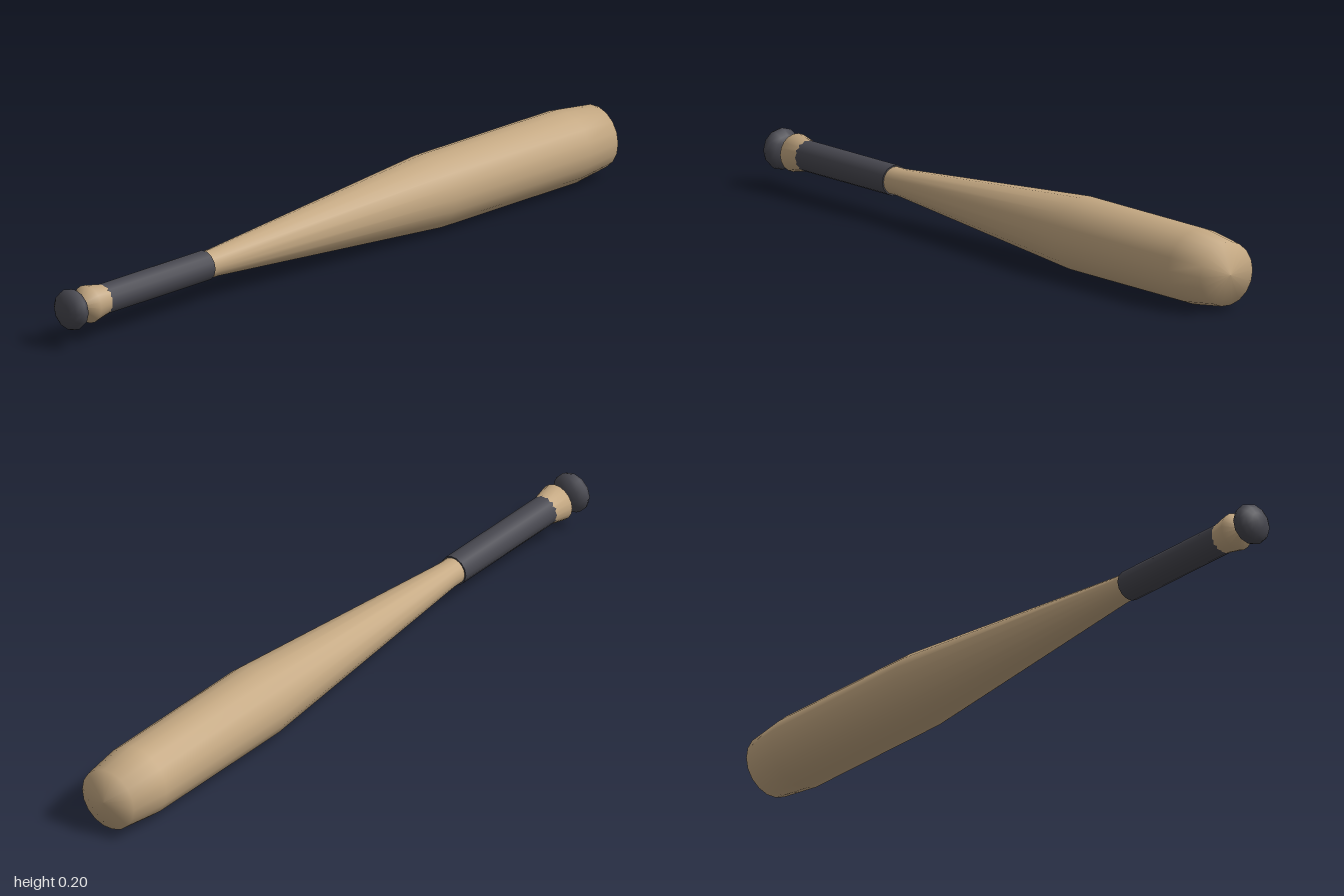
import * as THREE from 'three';

const AXIS_Y = 0.1; // height of the bat's long axis

export function createModel() {
  const wood = new THREE.MeshStandardMaterial({ color: 0xc4a882 });
  wood.name = 'wood';
  const wrap = new THREE.MeshStandardMaterial({ color: 0x47474f });
  wrap.name = 'darkWrap';

  const bat = new THREE.Group();
  bat.name = 'bat';

  // Lays a y-axis solid along z and adds it at the given z
  const add = (name, geometry, material, z) => {
    const mesh = new THREE.Mesh(geometry.rotateX(Math.PI / 2), material);
    mesh.name = name;
    mesh.position.set(0, AXIS_Y, z);
    bat.add(mesh);
  };

  // Turned wooden body: radius and z, from barrel tip to flared handle end
  const profile = [
    [0, -1], [0.086, -0.98], [0.1005, -0.86], [0.1005, -0.36],
    [0.037, 0.44], [0.036, 0.83], [0.051, 0.907], [0, 0.94],
  ].map(([r, z]) => new THREE.Vector2(r, z));
  add('woodenBody', new THREE.LatheGeometry(profile, 18).rotateY(Math.PI / 2), wood, 0);

  // Wrapped grip
  add('grip', new THREE.CylinderGeometry(0.041, 0.041, 0.385, 14).rotateY(Math.PI / 2), wrap, 0.665);

  // Flattened end knob
  add('knob', new THREE.SphereGeometry(0.056, 12, 8).scale(1, 0.58, 1), wrap, 0.9675);

  return bat;
}
